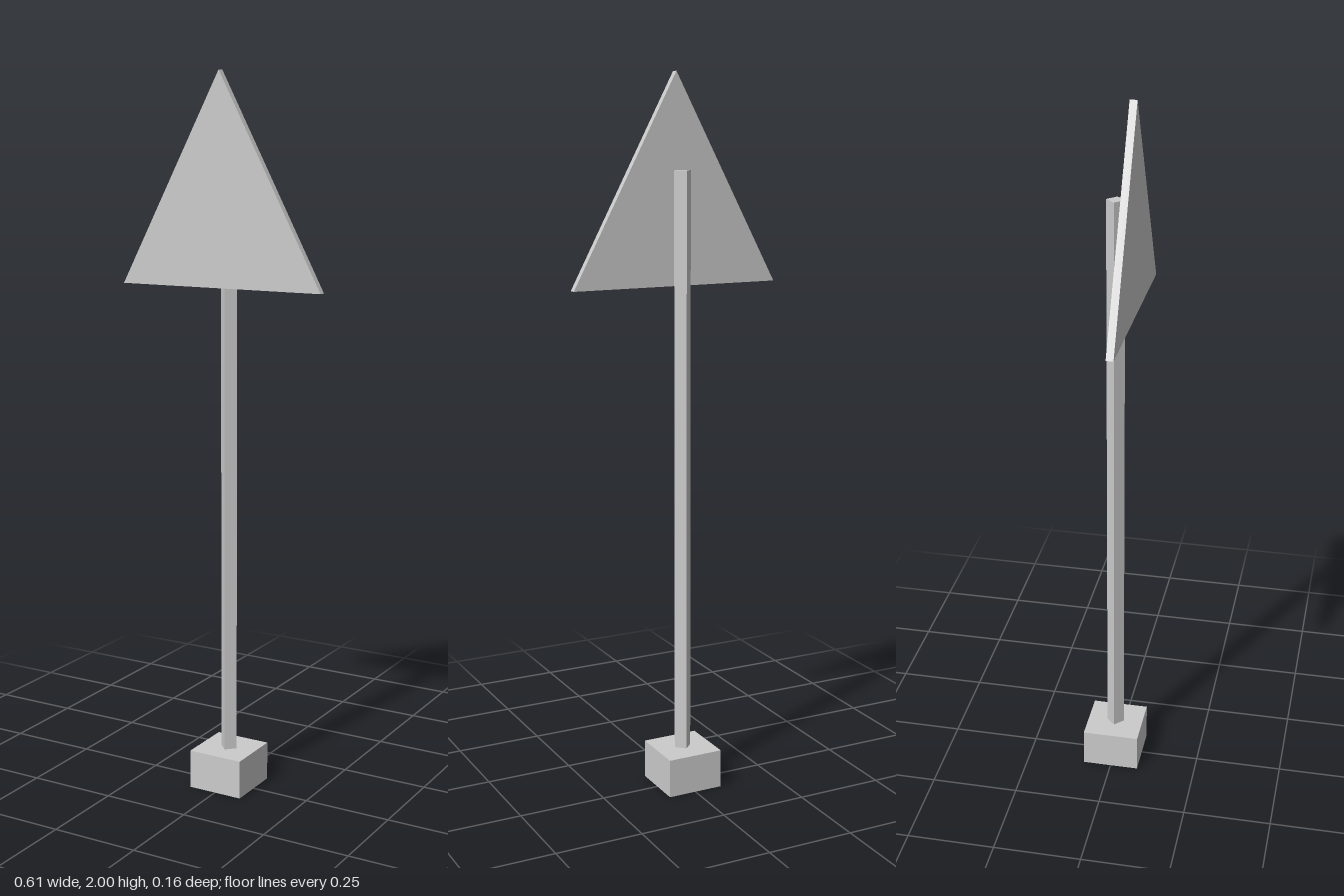
import * as THREE from 'three';

const material = new THREE.MeshStandardMaterial({ color: 0xcccccc, flatShading: true });

function addPart(group, name, geometry, x, y, z) {
  const mesh = new THREE.Mesh(geometry, material);
  mesh.name = name;
  mesh.position.set(x, y, z);
  group.add(mesh);
}

export function createModel() {
  const model = new THREE.Group();
  model.name = 'triangularRoadSign';

  // Square foot block
  const baseHeight = 0.11, baseWidth = 0.162;
  addPart(model, 'base', new THREE.BoxGeometry(baseWidth, baseHeight, baseWidth), 0, baseHeight / 2, 0);

  // Four-sided post, corners facing front and sides
  const postTop = 1.742, postHeight = postTop - baseHeight;
  addPart(model, 'post', new THREE.CylinderGeometry(0.025, 0.025, postHeight, 4), 0, baseHeight + postHeight / 2, 0);

  // Thin triangular plate standing just in front of the post
  const halfWidth = 0.304, plateBottom = 1.43, plateTop = 2;
  const triangle = new THREE.Shape();
  triangle.moveTo(-halfWidth, 0);
  triangle.lineTo(halfWidth, 0);
  triangle.lineTo(0, plateTop - plateBottom);
  triangle.closePath();
  const plate = new THREE.ExtrudeGeometry(triangle, { depth: 0.02, bevelEnabled: false });
  addPart(model, 'signPlate', plate, 0, plateBottom, 0.035);

  return model;
}
